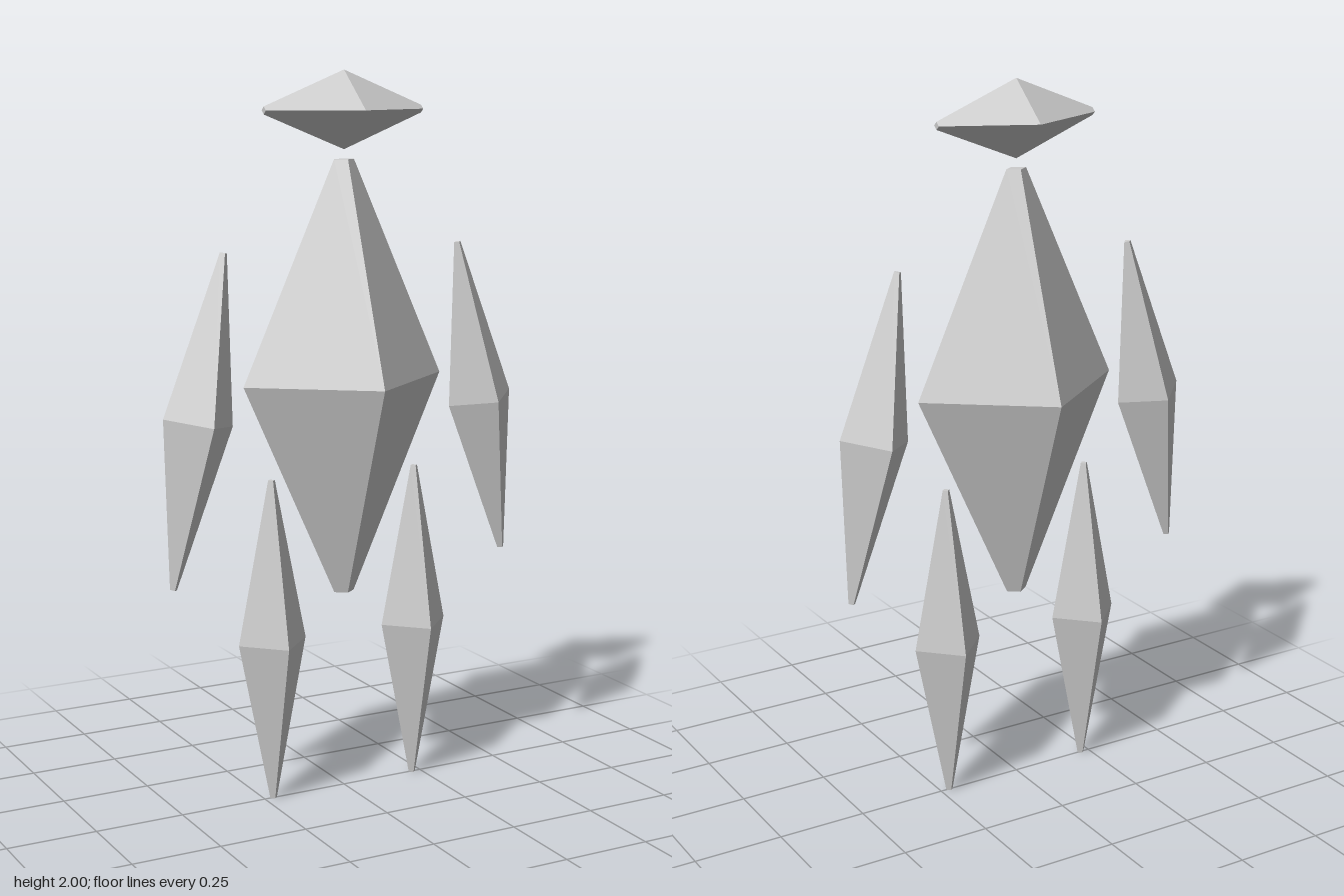
import * as THREE from 'three';

const material = new THREE.MeshStandardMaterial({ color: 0xcccccc, flatShading: true });

// Four-sided crystal along y: widest at the middle, blunt at both tips.
function crystal(name, halfLength, rx, rz, tip) {
  const profile = [[0, -halfLength], [tip, -halfLength], [1, 0], [tip, halfLength], [0, halfLength]]
    .map(([r, y]) => new THREE.Vector2(r, y));
  const geometry = new THREE.LatheGeometry(profile, 4).scale(rx, 1, rz).toNonIndexed();
  geometry.computeVertexNormals();
  const mesh = new THREE.Mesh(geometry, material);
  mesh.name = name;
  return mesh;
}

export function createModel() {
  const model = new THREE.Group();
  model.name = 'crystalFigure';

  // Large torso shard
  const torso = crystal('torso', 0.598, 0.304, 0.23, 0.1);
  torso.position.y = 1.166;
  model.add(torso);

  // Head shard lying along x
  const head = crystal('head', 0.238, 0.105, 0.122, 0.1);
  head.rotation.z = Math.PI / 2;
  head.position.y = 1.895;
  model.add(head);

  // Mirrored arms, splayed outwards at the bottom, and upright legs
  for (const [side, s] of [['left', 1], ['right', -1]]) {
    const arm = crystal(side + 'Arm', 0.453, 0.102, 0.102, 0.1);
    arm.position.set(s * 0.437, 1.082, 0);
    arm.rotation.z = s * THREE.MathUtils.degToRad(10);
    model.add(arm);

    const leg = crystal(side + 'Leg', 0.453, 0.102, 0.102, 0.1);
    leg.position.set(s * 0.223, 0.453, 0);
    model.add(leg);
  }
  return model;
}
